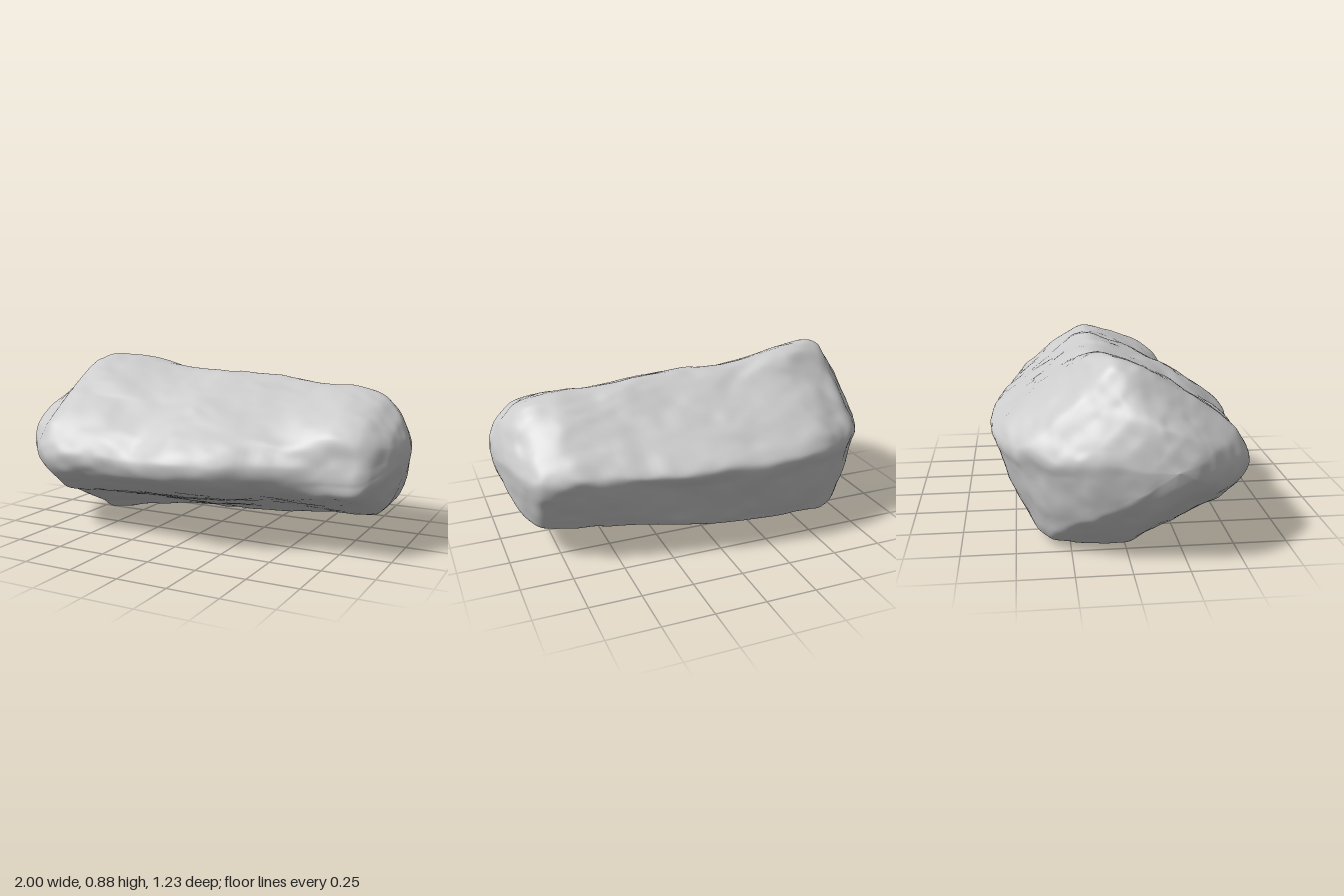
import * as THREE from 'three';

// Smooth value noise in -1..1
const hash = (x, y, z) => {
  const s = Math.sin(x * 127.1 + y * 311.7 + z * 74.7) * 43758.5453;
  return (s - Math.floor(s)) * 2 - 1;
};
const ease = (t) => t * t * (3 - 2 * t);
function noise(x, y, z) {
  const i = Math.floor(x), j = Math.floor(y), k = Math.floor(z);
  const u = ease(x - i), v = ease(y - j), w = ease(z - k);
  let sum = 0;
  for (let a = 0; a < 2; a++) for (let b = 0; b < 2; b++) for (let c = 0; c < 2; c++) {
    sum += hash(i + a, j + b, k + c) * (a ? u : 1 - u) * (b ? v : 1 - v) * (c ? w : 1 - w);
  }
  return sum;
}

// Stations along the length: x, bottom y, top y, back z, front z
const stations = [
  [-1, 0.44, 0.44, 0.19, 0.19], [-0.985, 0.36, 0.52, 0.06, 0.29],
  [-0.95, 0.28, 0.615, -0.06, 0.37], [-0.9, 0.2, 0.67, -0.22, 0.43],
  [-0.84, 0.12, 0.74, -0.34, 0.49], [-0.76, 0.035, 0.845, -0.43, 0.55],
  [-0.68, -0.015, 0.87, -0.49, 0.575], [-0.5, 0.015, 0.855, -0.58, 0.58],
  [-0.2, 0.045, 0.81, -0.61, 0.57], [0, 0.06, 0.805, -0.595, 0.605],
  [0.25, 0.08, 0.79, -0.56, 0.56], [0.5, 0.105, 0.77, -0.5, 0.46],
  [0.72, 0.125, 0.765, -0.45, 0.41], [0.85, 0.145, 0.72, -0.4, 0.385],
  [0.91, 0.2, 0.67, -0.32, 0.34], [0.96, 0.3, 0.61, -0.19, 0.25],
  [0.99, 0.38, 0.54, -0.06, 0.15], [1, 0.47, 0.47, 0.05, 0.05],
];

// Cross-sections, z from -1 (back) to 1 (front), y from 0 to 1: wedge-shaped
// in the middle, blunter towards the ends, with matching corners
const middle = [
  [1, 0.48], [0.86, 0.62], [0.5, 0.79], [0.13, 0.94], [-0.12, 1], [-0.28, 0.97],
  [-0.5, 0.84], [-0.78, 0.69], [-1, 0.55], [-0.95, 0.42], [-0.8, 0.13],
  [-0.68, 0.05], [-0.12, 0], [0.1, 0.06], [0.42, 0.155], [0.76, 0.255], [0.96, 0.365],
];
const end = [
  [0.93, 0.48], [0.87, 0.68], [0.57, 0.84], [0.16, 0.96], [-0.1, 1], [-0.28, 0.96],
  [-0.5, 0.86], [-0.78, 0.7], [-1, 0.53], [-0.97, 0.38], [-0.77, 0.13],
  [-0.64, 0.04], [-0.1, 0], [0.14, 0.01], [0.45, 0.1], [0.92, 0.25], [0.95, 0.36],
];

const spline = (points, closed) => new THREE.CatmullRomCurve3(points, closed, 'catmullrom', 0.4);
const sectionCurve = (points) => spline(points.map(([z, y]) => new THREE.Vector3(0, y, z)), true);

function rockGeometry(rows, cols) {
  const heights = spline(stations.map(([x, b, t]) => new THREE.Vector3(x, b, t)), false);
  const depths = spline(stations.map((s) => new THREE.Vector3(s[3], s[4], 0)), false);
  const middleCurve = sectionCurve(middle), endCurve = sectionCurve(end);
  const { smoothstep } = THREE.MathUtils;
  const positions = [], index = [];

  for (let i = 0; i <= rows; i++) {
    const h = heights.getPoint(i / rows), d = depths.getPoint(i / rows);
    const blunt = smoothstep(h.x, 0.35, 0.85) + 0.6 * smoothstep(-h.x, 0.8, 0.95);
    for (let j = 0; j < cols; j++) {
      const q = middleCurve.getPoint(j / cols).lerp(endCurve.getPoint(j / cols), blunt);
      const p = new THREE.Vector3(h.x, h.y + (h.z - h.y) * q.y,
        (d.x + d.y) / 2 + (q.z * (d.y - d.x)) / 2);
      weather(p);
      positions.push(p.x, p.y, p.z);
      if (i < rows) {
        const a = i * cols + j, b = i * cols + ((j + 1) % cols);
        index.push(a, a + cols, b, b, a + cols, b + cols);
      }
    }
  }
  const geometry = new THREE.BufferGeometry();
  geometry.setAttribute('position', new THREE.Float32BufferAttribute(positions, 3));
  geometry.setIndex(index);
  geometry.computeVertexNormals();
  return geometry;
}

// Weathered lumps, plus an oblique groove behind the crest
function weather(p) {
  const { x, y, z } = p;
  for (const [f, amp] of [[3.5, 0.01], [8, 0.009], [19, 0.005]]) {
    p.x += amp * 0.5 * noise(x * f + 9, y * f, z * f);
    p.y += amp * noise(x * f * 0.7, y * f + 31, z * f);
    p.z += amp * noise(x * f * 0.7, y * f, z * f + 57);
  }
  if (y > 0.55) {
    const along = (x + 0.28) * 0.85 - (z + 0.15) * 0.53;
    const across = (x + 0.28) * 0.53 + (z + 0.15) * 0.85;
    p.y -= 0.02 * Math.exp(-((along / 0.18) ** 2) - (across / 0.04) ** 2);
  }
}

export function createModel() {
  const group = new THREE.Group();
  group.name = 'boulder';
  const rock = new THREE.Mesh(rockGeometry(150, 153),
    new THREE.MeshStandardMaterial({ color: 0xcccccc }));
  rock.name = 'rock';
  // Rest the rock on the ground
  rock.geometry.computeBoundingBox();
  rock.position.y = -rock.geometry.boundingBox.min.y;
  group.add(rock);
  return group;
}
